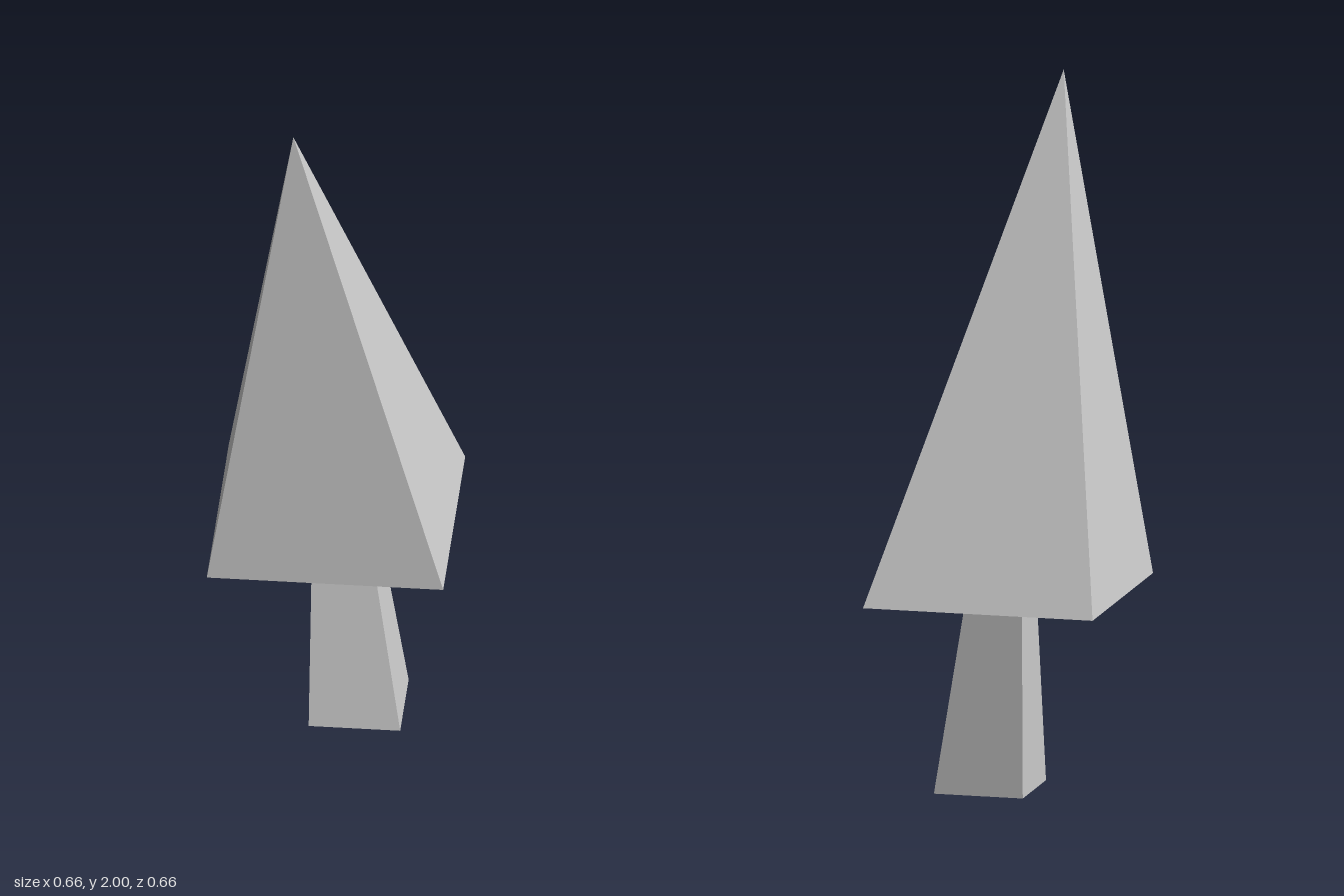
import * as THREE from 'three';
import { ConvexGeometry } from 'three/addons/geometries/ConvexGeometry.js';

// Corners of a level rectangle at height y
function rect(x0, x1, z0, z1, y) {
  return [[x0, z0], [x1, z0], [x1, z1], [x0, z1]].map(([x, z]) => new THREE.Vector3(x, y, z));
}

export function createModel() {
  const group = new THREE.Group();
  group.name = 'tree';
  const grey = new THREE.MeshStandardMaterial({ color: 0xcccccc });
  grey.name = 'lightGrey';

  const addPart = (name, points) => {
    const mesh = new THREE.Mesh(new ConvexGeometry(points), grey);
    mesh.name = name;
    group.add(mesh);
  };

  // Leaning pyramid of foliage with an off-centre tip
  addPart('crown', [
    ...rect(-0.328, 0.328, -0.328, 0.328, 0.572),
    new THREE.Vector3(-0.096, 2, 0.24),
  ]);

  // Tapered, skewed square trunk
  addPart('trunk', [
    ...rect(-0.058, 0.196, -0.06, 0.192, 0),
    ...rect(-0.058, 0.1, -0.07, 0.086, 0.572),
  ]);

  return group;
}
